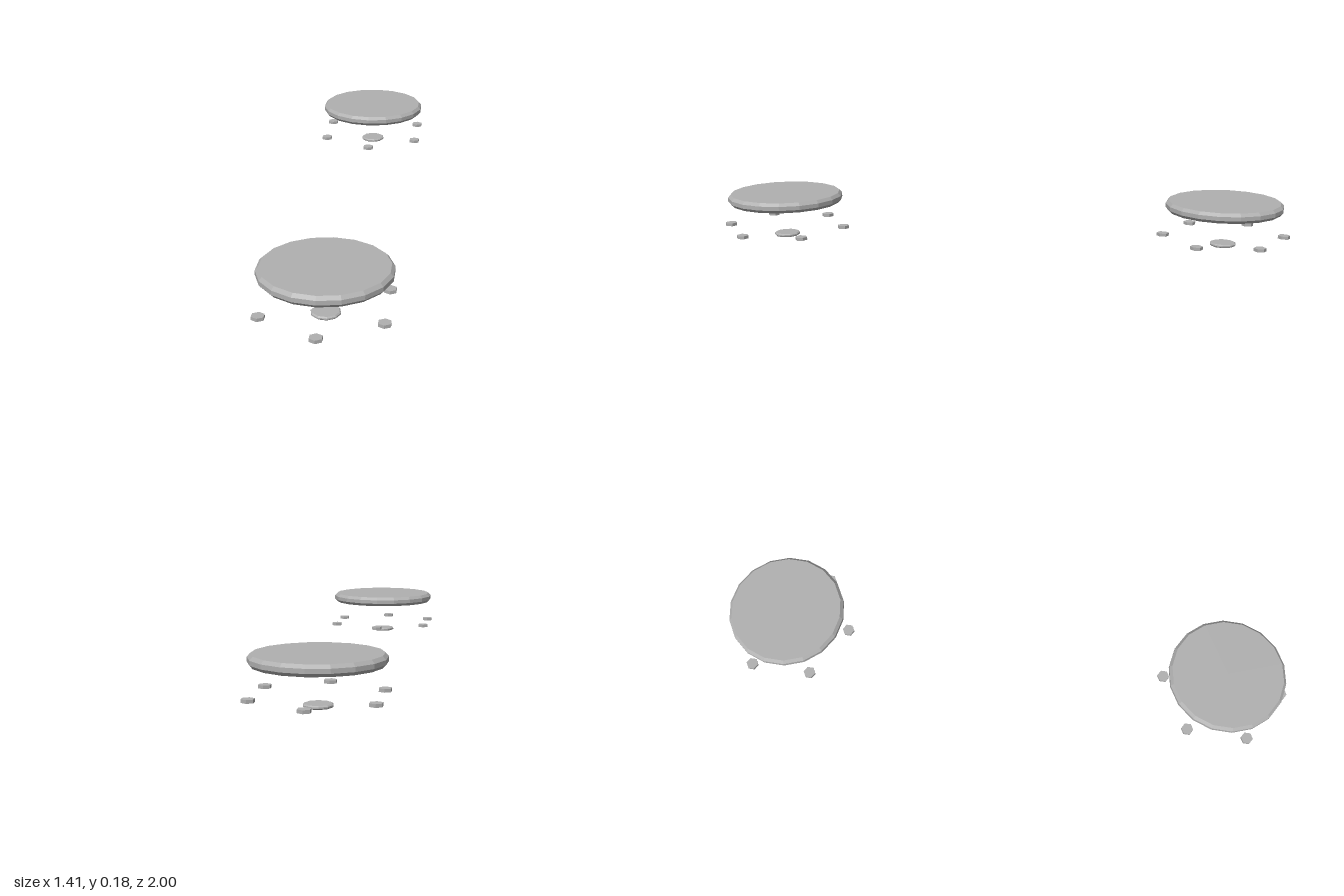
import * as THREE from 'three';

const grey = new THREE.MeshStandardMaterial({ color: 0xb0b0b0, flatShading: true });
grey.name = 'grey';

// Closed disc with chamfered rims, a corner pointing along x
function bevelledDisc(name, radius, bottom, top, bevel, rise, sides) {
  const profile = [
    [0, bottom], [radius - bevel, bottom], [radius, bottom + rise],
    [radius, top - rise], [radius - bevel, top], [0, top],
  ].map(([x, y]) => new THREE.Vector2(x, y));
  const mesh = new THREE.Mesh(new THREE.LatheGeometry(profile, sides, Math.PI / 2), grey);
  mesh.name = name;
  return mesh;
}

// One large plate over a small hub and a ring of six studs
function createUnit(name) {
  const unit = new THREE.Group();
  unit.name = name;
  unit.add(bevelledDisc('plate', 0.231, 0.14, 0.18, 0.011, 0.012, 18));
  unit.add(bevelledDisc('hub', 0.052, 0, 0.013, 0.005, 0.004, 10));

  const studGeometry = new THREE.CylinderGeometry(0.024, 0.024, 0.012, 6).rotateY(Math.PI / 2);
  for (let i = 0; i < 6; i++) {
    const angle = (i * Math.PI) / 3;
    const stud = new THREE.Mesh(studGeometry, grey);
    stud.name = 'stud';
    stud.position.set(0.238 * Math.cos(angle), 0.04, 0.238 * Math.sin(angle));
    unit.add(stud);
  }
  return unit;
}

export function createModel() {
  const model = new THREE.Group();
  model.name = 'discPair';
  // Two identical units on opposite corners
  for (const side of [1, -1]) {
    const unit = createUnit(side > 0 ? 'leftBackUnit' : 'rightFrontUnit');
    unit.position.set(0.442 * side, 0, -0.772 * side);
    model.add(unit);
  }
  return model;
}
